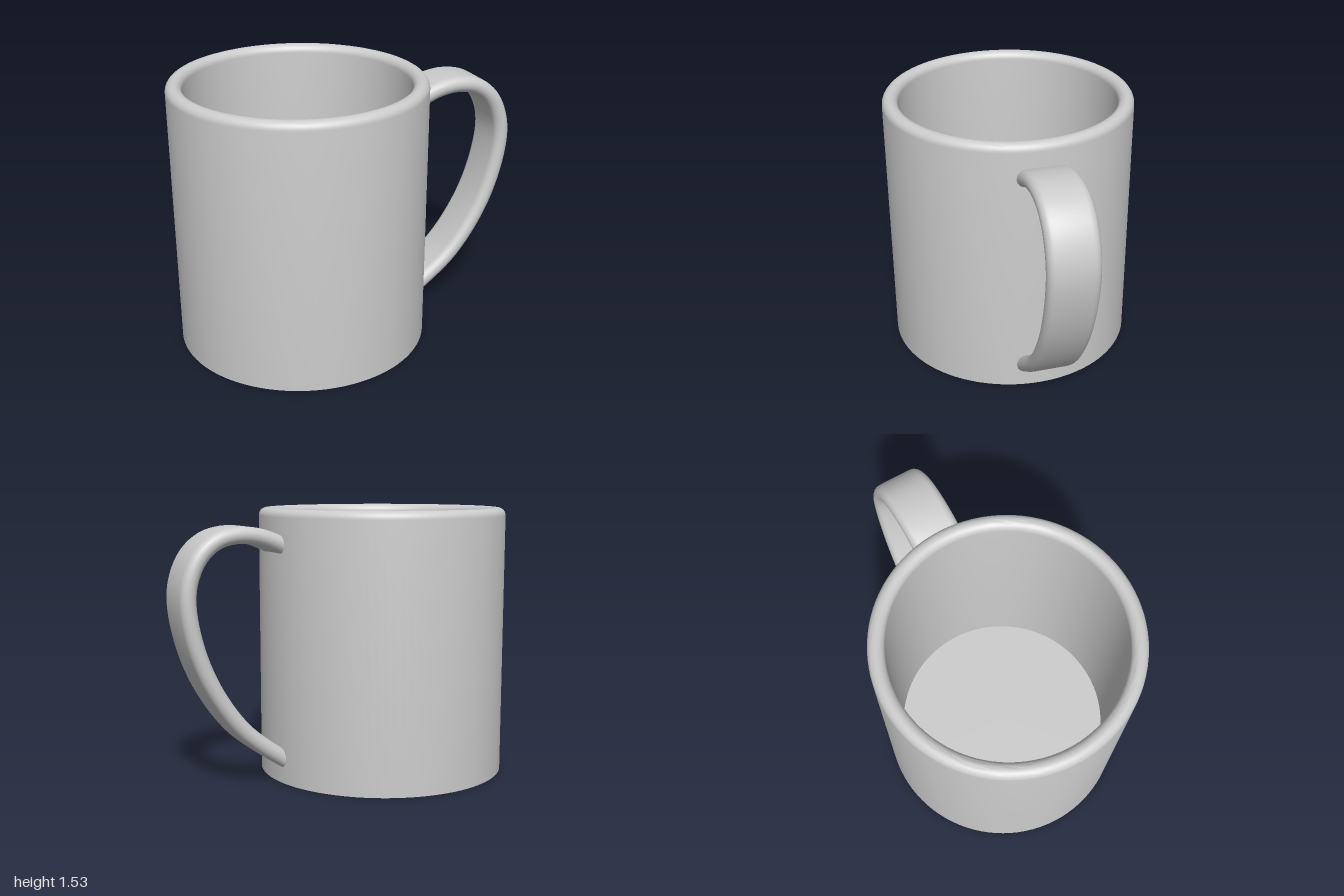
import * as THREE from 'three';
import { toCreasedNormals } from 'three/addons/utils/BufferGeometryUtils.js';

const RADIUS = 0.713, HEIGHT = 1.53, WALL = 0.09, FLOOR = 0.09, CENTER_X = -0.287;

// Hollow cup: outer wall, half-round rim, inner wall and floor in one profile
function cupGeometry() {
  const rim = WALL / 2;
  const profile = [new THREE.Vector2(0, 0), new THREE.Vector2(RADIUS, 0)];
  for (let i = 0; i <= 14; i++) {
    const a = (i / 14) * Math.PI;
    profile.push(new THREE.Vector2(RADIUS - rim + rim * Math.cos(a), HEIGHT - rim + rim * Math.sin(a)));
  }
  profile.push(new THREE.Vector2(RADIUS - WALL, FLOOR), new THREE.Vector2(0, FLOOR));
  return toCreasedNormals(new THREE.LatheGeometry(profile, 96), 0.7);
}

// Flat band with round edges, swept along a curve in the xy plane
function bandGeometry(curve, halfWidth, halfThick, steps) {
  const section = [];
  for (const side of [1, -1]) {
    for (let i = 0; i <= 10; i++) {
      const a = (i / 10) * Math.PI;
      section.push([
        side * halfThick * Math.cos(a),
        side * (halfWidth - halfThick + halfThick * Math.sin(a)),
      ]);
    }
  }
  const n = section.length, positions = [], index = [];
  for (let i = 0; i <= steps; i++) {
    const p = curve.getPointAt(i / steps), t = curve.getTangentAt(i / steps);
    for (const [u, v] of section) positions.push(p.x - t.y * u, p.y + t.x * u, v);
    if (i === steps) break;
    for (let j = 0; j < n; j++) {
      const a = i * n + j, b = i * n + ((j + 1) % n);
      index.push(a, b, a + n, b, b + n, a + n);
    }
  }
  // End caps, buried in the cup wall
  for (let j = 1; j < n - 1; j++) {
    const e = steps * n;
    index.push(0, j + 1, j, e, e + j, e + j + 1);
  }
  const geometry = new THREE.BufferGeometry();
  geometry.setAttribute('position', new THREE.Float32BufferAttribute(positions, 3));
  geometry.setIndex(index);
  return toCreasedNormals(geometry, 0.7);
}

export function createModel() {
  const model = new THREE.Group();
  model.name = 'mug';
  const material = new THREE.MeshStandardMaterial({ color: 0xcccccc });

  const cup = new THREE.Mesh(cupGeometry(), material);
  cup.name = 'cup';
  cup.position.x = CENTER_X;
  model.add(cup);

  // Handle centre line, from the upper joint round to the lower one
  const path = new THREE.CatmullRomCurve3([
    [0.375, 1.318], [0.43, 1.347], [0.54, 1.385], [0.66, 1.396], [0.78, 1.369], [0.875, 1.293],
    [0.935, 1.175], [0.953, 1.04], [0.91, 0.8], [0.81, 0.56], [0.64, 0.323], [0.43, 0.155], [0.375, 0.118],
  ].map(([x, y]) => new THREE.Vector3(x, y, 0)));
  const handle = new THREE.Mesh(bandGeometry(path, 0.142, 0.046, 72), material);
  handle.name = 'handle';
  model.add(handle);

  return model;
}
